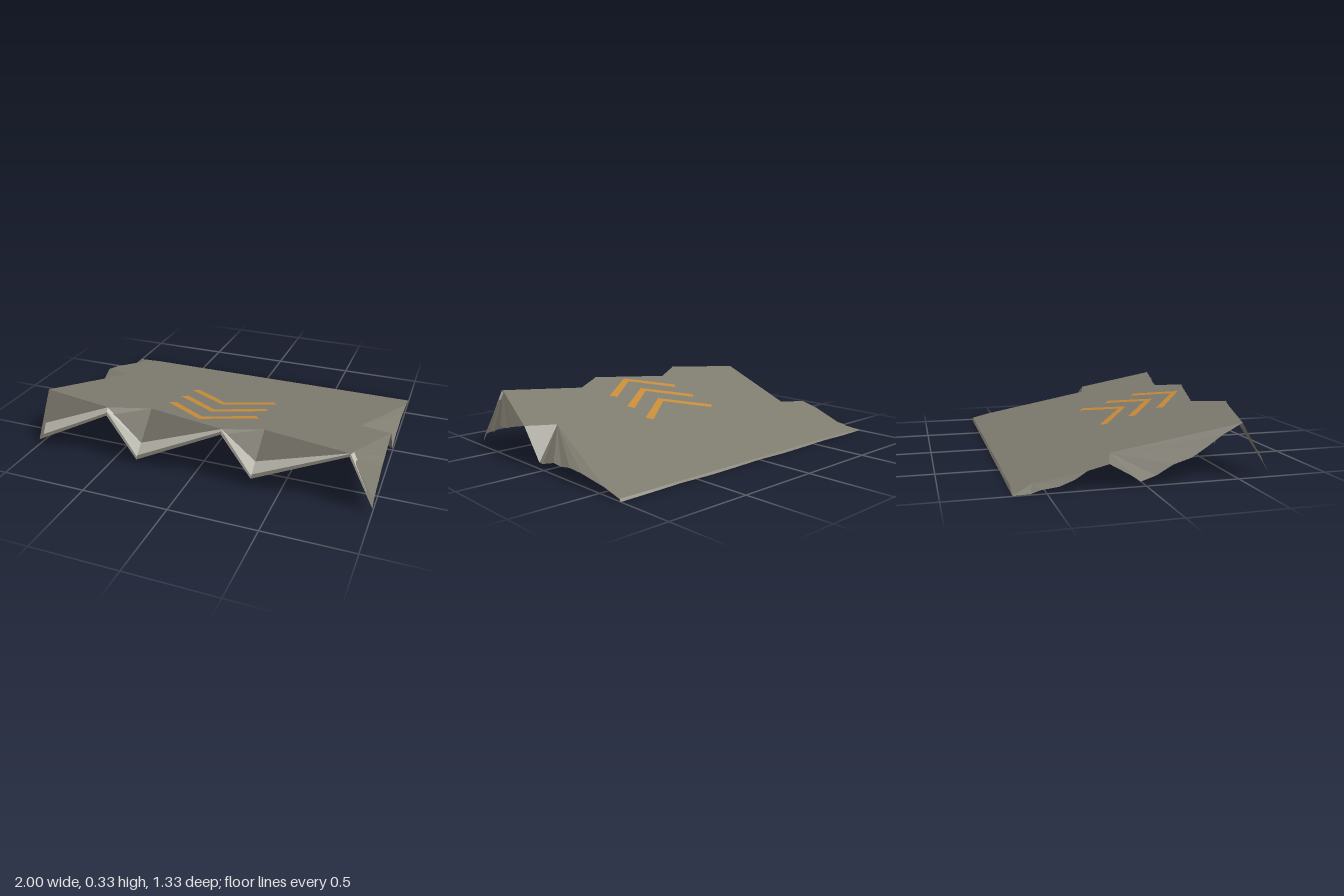
import * as THREE from 'three';

const paint = (name, color) => {
  const m = new THREE.MeshStandardMaterial({ color, side: THREE.DoubleSide, flatShading: true });
  m.name = name;
  return m;
};

// Height of the sloping deck at depth z
const deckY = (z) => 0.17 + 0.24 * z;
const onDeck = (x, z) => [x, deckY(z), z];
const mix = (a, b, t) => a.map((v, i) => v + (b[i] - v) * t);

export function createModel() {
  const group = new THREE.Group();
  const body = paint('weathered grey', 0x7f7c70);
  const light = paint('pale stripe', 0xc8c6ba);
  const orange = paint('orange marking', 0xc98c38);

  const addTriangles = (name, tris, material) => {
    const g = new THREE.BufferGeometry();
    g.setAttribute('position', new THREE.Float32BufferAttribute(tris.flat(2), 3));
    g.computeVertexNormals();
    const mesh = new THREE.Mesh(g, material);
    mesh.name = name;
    group.add(mesh);
  };
  const quad = (a, b, c, d) => [[a, b, c], [a, c, d]];
  const fan = (apex, pts) => pts.slice(1).map((p, i) => [apex, pts[i], p]);

  // Flat outline laid on the slope, raised by lift
  const addSheet = (name, pts, material, lift = 0) => {
    const g = new THREE.ShapeGeometry(new THREE.Shape(pts.map(([x, z]) => new THREE.Vector2(x, -z))));
    const p = g.attributes.position;
    for (let i = 0; i < p.count; i++) {
      const z = -p.getY(i);
      p.setXYZ(i, p.getX(i), deckY(z) + lift, z);
    }
    g.computeVertexNormals();
    const mesh = new THREE.Mesh(g, material);
    mesh.name = name;
    group.add(mesh);
  };

  // Deck with jagged front and notched sides
  const front = [[-1, 0.51], [-0.52, 0.64], [-0.31, 0.52], [0.17, 0.65], [0.37, 0.53], [0.86, 0.655]];
  const rightNotch = [[1, 0.18], [0.82, 0.13], [1, -0.54]];
  const back = [[1, -0.655], [-0.84, -0.655], [-0.93, -0.56], [-1, -0.3]];
  const leftNotch = [[-1, -0.19], [-0.825, -0.14]];
  addSheet('deck', [...front, ...rightNotch, ...back, ...leftNotch], body);

  // Front flaps hanging to a zigzag lower edge
  const top = front.map(([x, z]) => onDeck(x, z));
  const low = [[-1, 0.03], [-0.52, 0.283], [-0.35, 0.03], [0.17, 0.3], [0.34, 0.06], [0.86, 0.312]]
    .map(([x, y]) => [x, y, 0.665]);
  const atZ = (i, z) => {
    const t = Math.max(0, (z - top[i][2]) / (low[i][2] - top[i][2]));
    return mix(top[i], low[i], t);
  };
  const lift = ([x, y, z]) => [x, y + 0.002, z + 0.004];
  for (let i = 0; i < 5; i++) {
    addTriangles('frontFlap', quad(low[i], low[i + 1], top[i + 1], top[i]), body);
    const start = i === 0 ? 0.06 : 0;
    const upper = mix(atZ(i, 0.617), atZ(i + 1, 0.617), start);
    const lower = mix(atZ(i, 0.653), atZ(i + 1, 0.653), start);
    addTriangles('frontStripe',
      quad(lower, atZ(i + 1, 0.657), atZ(i + 1, 0.617), upper).map((t) => t.map(lift)), light);
  }

  // Side skirts: fans from a deck corner to a ragged edge at x = side
  const addSkirt = (name, side, apex, edge) =>
    addTriangles(name, fan(apex, edge.map(([z, y]) => [side, y, z])).map(
      (t) => (side > 0 ? t : [t[0], t[2], t[1]])), body);

  const peak = top[5];
  addTriangles('rightCorner', [[peak, low[5], [1, 0.03, 0.665]]], body);
  addSkirt('rightFrontSkirt', 1, peak, [[0.665, 0.03], [0.645, 0.075], [0.58, 0.105], [0.53, 0.117],
    [0.45, 0.155], [0.36, 0.17], [0.32, 0.182], [0.18, deckY(0.18)]]);
  addSkirt('rightRearSkirt', 1, onDeck(0.82, 0.13), [[0.18, deckY(0.18)], [0.04, 0.035], [0, 0.035],
    [-0.03, 0.045], [-0.1, 0.064], [-0.17, 0.06], [-0.25, 0.071], [-0.35, 0.066], [-0.54, deckY(-0.54)]]);
  addSkirt('leftFrontSkirt', -1, onDeck(-0.825, -0.14), [[0.51, deckY(0.51)], [0.4, 0.235], [0.32, 0.18],
    [0.24, 0.13], [0.14, 0.1], [0.05, 0.05], [-0.03, 0.025], [-0.08, 0.06], [-0.19, deckY(-0.19)]]);
  addSkirt('leftRearSkirt', -1, onDeck(-0.93, -0.56), [[-0.3, deckY(-0.3)], [-0.36, 0.06], [-0.44, 0.03],
    [-0.53, 0.02], [-0.58, 0.004], [-0.665, 0.002]]);
  addTriangles('leftRearCorner',
    [[onDeck(-0.93, -0.56), [-1, 0.002, -0.665], onDeck(-0.84, -0.655)]], body);

  // Stripe on the right flap, following its slanted face
  const onRight = (y, z) =>
    [0.864 - (0.0679 * (y - 0.328) + 0.0253 * (z - 0.655)) / 0.1427, y, z];
  addTriangles('rightStripe',
    quad(onRight(0.125, 0.66), onRight(0.14, 0.622), onRight(0.318, 0.622), onRight(0.325, 0.66)), light);

  // Low uneven lip along the back
  const steps = 10;
  for (let i = 0; i < steps; i++) {
    const at = (k) => 1 - (2 * k) / steps;
    const foot = (k) => [at(k), 0.003 * (k % 3 === 0 ? 0 : k % 3 - 0.5), -0.665];
    const head = (k) => onDeck(Math.max(-0.84, at(k)), -0.655);
    addTriangles('backLip', quad(foot(i), foot(i + 1), head(i + 1), head(i)), body);
  }

  // Three chevrons on the deck
  for (let i = 0; i < 3; i++) {
    const z = i * 0.175;
    addSheet('chevron', [[0, 0.21], [0.28, 0.005], [0.25, -0.032], [0, 0.16], [-0.25, -0.032], [-0.28, 0.005]]
      .map(([x, dz]) => [x, dz + z]), orange, 0.004);
  }
  return group;
}
